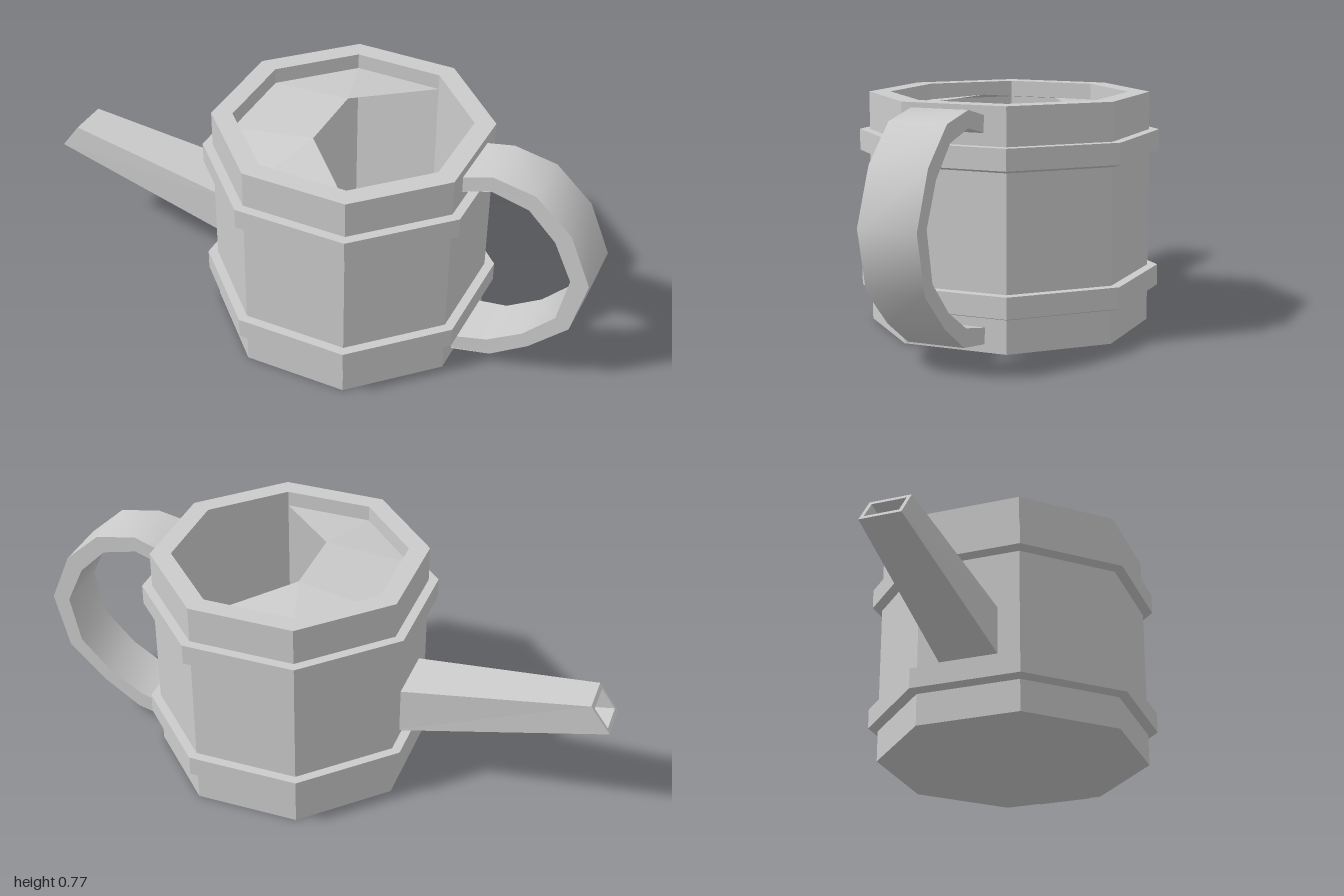
import * as THREE from 'three';
import { toCreasedNormals } from 'three/addons/utils/BufferGeometryUtils.js';

const CENTRE_X = 0.13;
const material = new THREE.MeshStandardMaterial({ color: 0xcccccc, flatShading: true });
const thinMaterial = new THREE.MeshStandardMaterial({ color: 0xcccccc, flatShading: true, side: THREE.DoubleSide });
const smoothMaterial = new THREE.MeshStandardMaterial({ color: 0xcccccc });

function addMesh(group, name, geometry, mat = material) {
  const mesh = new THREE.Mesh(geometry, mat);
  mesh.name = name;
  group.add(mesh);
  return mesh;
}

// Eight-sided turned form; profile is [apothem, y], with flat sides facing the axes
function octagon(profile) {
  const points = profile.map(([a, y]) => new THREE.Vector2(a / Math.cos(Math.PI / 8), y));
  return new THREE.LatheGeometry(points, 8, Math.PI / 8).translate(CENTRE_X, 0, 0);
}

function fromTriangles(points, index) {
  const geometry = new THREE.BufferGeometry();
  geometry.setAttribute('position', new THREE.Float32BufferAttribute(points.flat(), 3));
  geometry.setIndex(index);
  geometry.computeVertexNormals();
  return geometry;
}

// Tapered square tube running outward, over the lip and back down inside
function spoutGeometry() {
  // bottom x, bottom y, top x, top y, half width
  const sections = [
    [-0.27, 0.204, -0.27, 0.371, 0.103],
    [-1.0, 0.362, -0.93, 0.457, 0.068],
    [-0.99, 0.376, -0.94, 0.443, 0.056],
    [-0.32, 0.235, -0.32, 0.355, 0.085],
  ];
  const points = [];
  for (const [bx, by, tx, ty, h] of sections) {
    points.push([bx, by, h], [bx, by, -h], [tx, ty, -h], [tx, ty, h]);
  }
  const index = [];
  for (let s = 0; s < sections.length - 1; s++) {
    for (let k = 0; k < 4; k++) {
      const a = s * 4 + k, b = s * 4 + (k + 1) % 4;
      index.push(a, a + 4, b + 4, a, b + 4, b);
    }
  }
  const e = points.length - 4;
  index.push(e, e + 2, e + 1, e, e + 3, e + 2);
  return fromTriangles(points, index);
}

// Partial lid: from the inner rim up to a straight edge, open toward the handle
function coverGeometry() {
  const a = 0.365, c = a * Math.tan(Math.PI / 8), y = 0.72, top = 0.752;
  const points = [
    [CENTRE_X + c, y, -a], [CENTRE_X - c, y, -a], [CENTRE_X - a, y, -c],
    [CENTRE_X - a, y, c], [CENTRE_X - c, y, a], [CENTRE_X + c, y, a],
    [0.05, top, -0.13], [0.05, top, 0.13],
  ];
  return fromTriangles(points, [0, 1, 6, 1, 2, 6, 2, 3, 7, 2, 7, 6, 3, 4, 7, 4, 5, 7]);
}

// Curved strap, smooth along its length with sharp edges
function handleGeometry() {
  const outer = [[0.52, 0.735], [0.56, 0.745], [0.655, 0.77], [0.8, 0.743], [0.925, 0.63], [1, 0.455],
    [0.953, 0.26], [0.825, 0.135], [0.695, 0.047], [0.56, 0.025], [0.52, 0.02]];
  const inner = [[0.52, 0.075], [0.56, 0.08], [0.68, 0.105], [0.8, 0.18], [0.905, 0.29], [0.938, 0.455],
    [0.875, 0.59], [0.78, 0.685], [0.655, 0.715], [0.56, 0.69], [0.52, 0.68]];
  const shape = new THREE.Shape([...outer, ...inner].map(([x, y]) => new THREE.Vector2(x, y)));
  const width = 0.192;
  const geometry = new THREE.ExtrudeGeometry(shape, { depth: width, bevelEnabled: false });
  geometry.translate(0, 0, -width / 2);
  // Slight flare where the strap meets the body
  const pos = geometry.attributes.position;
  for (let i = 0; i < pos.count; i++) {
    if (pos.getX(i) < 0.58) pos.setZ(i, pos.getZ(i) * 1.09);
  }
  return toCreasedNormals(geometry, 0.8);
}

export function createModel() {
  const group = new THREE.Group();
  group.name = 'wateringCan';

  // Hollow body with a thick rim and floor
  addMesh(group, 'body', octagon([[0, 0], [0.43, 0], [0.43, 0.775], [0.365, 0.775], [0.365, 0.05], [0, 0.05]]));

  // Two hoops with a small chamfer underneath
  for (const [name, y] of [['lowerBand', 0.11], ['upperBand', 0.57]]) {
    addMesh(group, name, octagon([[0.42, y], [0.43, y], [0.461, y + 0.01], [0.461, y + 0.08], [0.42, y + 0.08]]));
  }

  addMesh(group, 'cover', coverGeometry(), thinMaterial);
  addMesh(group, 'spout', spoutGeometry());
  addMesh(group, 'handle', handleGeometry(), smoothMaterial);
  return group;
}
